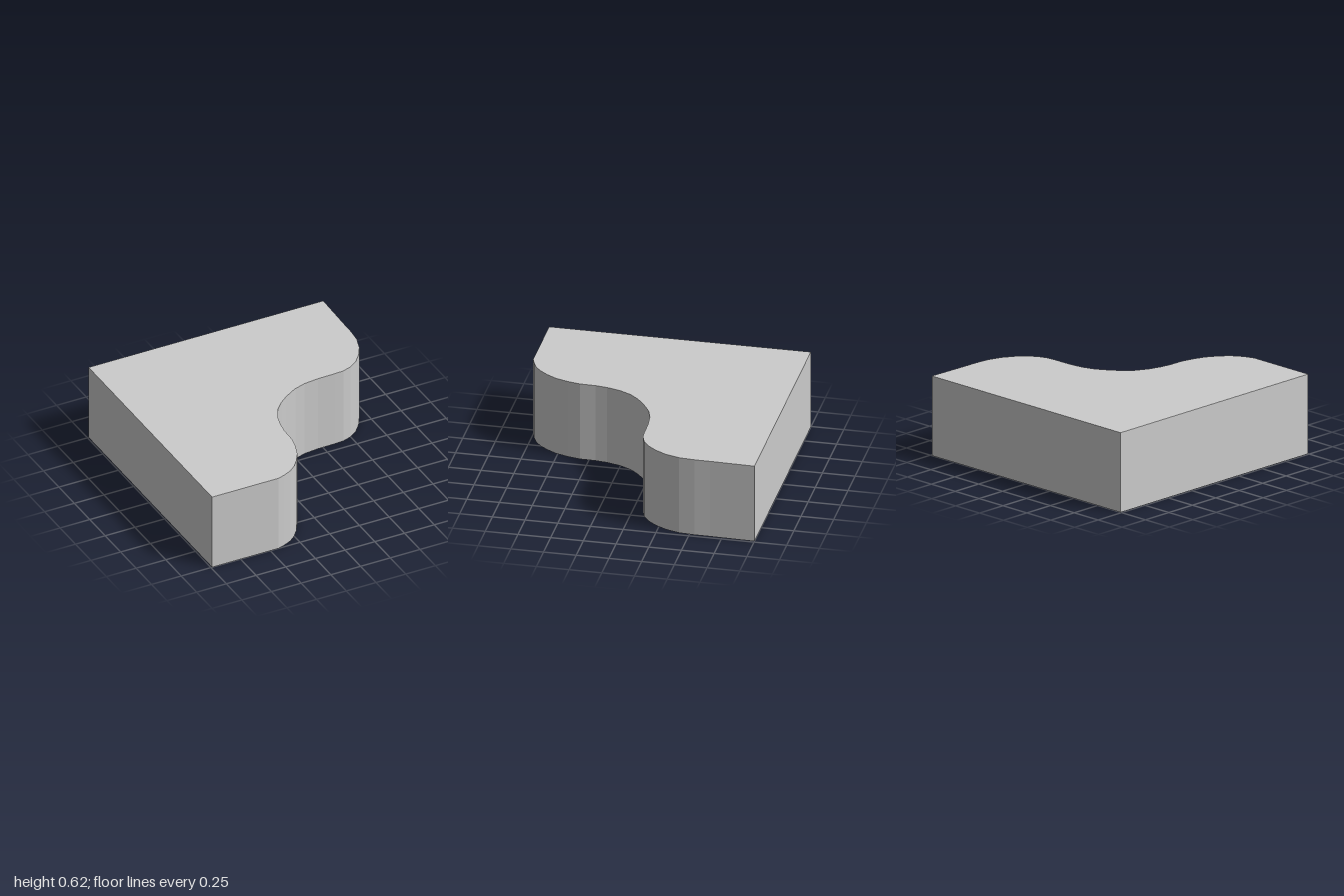
import * as THREE from 'three';

export function createModel() {
  const group = new THREE.Group();
  group.name = 'cornerBlock';
  const height = 0.625;

  // Plan outline as [x, z]: square back corner, S-shaped front edge
  const outline = [
    [-0.99, 1], [-0.99, -1], [0.985, -1],
    // right lobe
    [0.976, -0.66], [0.975, -0.54], [0.965, -0.42], [0.93, -0.31], [0.88, -0.225],
    [0.82, -0.155], [0.75, -0.105], [0.675, -0.08], [0.6, -0.075],
    // concave middle
    [0.46, -0.073], [0.34, -0.06], [0.245, -0.03], [0.2, -0.005], [0.135, 0.035],
    [0.065, 0.09], [0, 0.16], [-0.05, 0.255], [-0.08, 0.36], [-0.092, 0.45],
    // front lobe
    [-0.095, 0.57], [-0.115, 0.665], [-0.15, 0.765], [-0.2, 0.845], [-0.25, 0.905],
    [-0.305, 0.95], [-0.37, 0.98], [-0.43, 1],
  ];
  const shape = new THREE.Shape(outline.map(([x, z]) => new THREE.Vector2(x, -z)));

  // Extrude the plan upward into a faceted slab
  const geometry = new THREE.ExtrudeGeometry(shape, { depth: height, bevelEnabled: false });
  geometry.rotateX(-Math.PI / 2);

  const slab = new THREE.Mesh(
    geometry,
    new THREE.MeshStandardMaterial({ color: 0xcccccc, flatShading: true })
  );
  slab.name = 'curvedSlab';
  group.add(slab);
  return group;
}
